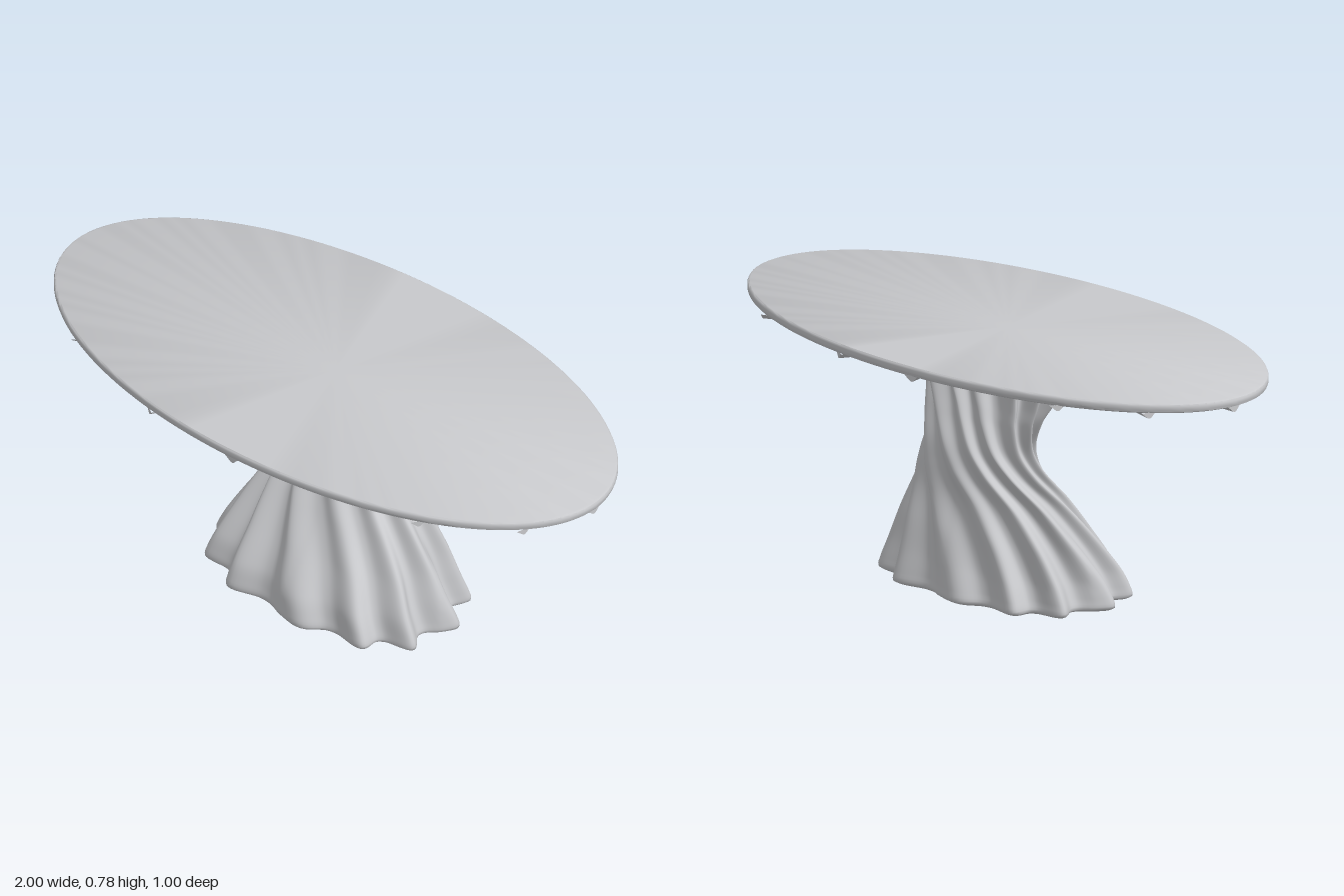
import * as THREE from 'three';
import { toCreasedNormals } from 'three/addons/utils/BufferGeometryUtils.js';

const RAD = Math.PI / 180;
// where each rib meets the rim, and where its ridge reaches the floor (degrees)
const RIBS = [0, 25, 50, 89, 109, 137, 180, 208, 230, 263, 282, 312];
const FOOT = RIBS.map((_, i) => i * 30 - 95);

// pedestal stations: y, centre z, half width x, half depth z, ridge depth, twist 0..1
const STATIONS = [
  [0.004, -0.015, 0.415, 0.25, 0.13, 0],
  [0.012, -0.015, 0.432, 0.266, 0.14, 0],
  [0.04, -0.015, 0.428, 0.264, 0.15, 0.005],
  [0.1, -0.02, 0.402, 0.247, 0.15, 0.03],
  [0.2, -0.045, 0.352, 0.204, 0.14, 0.1],
  [0.3, -0.072, 0.295, 0.16, 0.13, 0.23],
  [0.4, -0.108, 0.235, 0.128, 0.14, 0.43],
  [0.47, -0.115, 0.21, 0.12, 0.15, 0.58],
  [0.55, -0.1, 0.225, 0.118, 0.17, 0.76],
  [0.6, -0.078, 0.248, 0.13, 0.19, 0.85],
  [0.65, -0.055, 0.275, 0.147, 0.21, 0.93],
  [0.7, -0.035, 0.312, 0.168, 0.24, 0.99],
  [0.73, -0.02, 0.37, 0.2, 0.31, 1],
  [0.762, 0, 0.48, 0.27, 0.4, 1],
];

function lookup(y) {
  let k = 0;
  while (k < STATIONS.length - 2 && y > STATIONS[k + 1][0]) k++;
  const at = (i) => STATIONS[Math.min(Math.max(i, 0), STATIONS.length - 1)];
  const [p, a, b, n] = [at(k - 1), at(k), at(k + 1), at(k + 2)];
  const h = b[0] - a[0], t = (y - a[0]) / h;
  // cubic interpolation with slopes from the neighbouring stations
  return a.map((v, c) => {
    const m0 = ((b[c] - p[c]) / (b[0] - p[0])) * h;
    const m1 = ((n[c] - v) / (n[0] - a[0])) * h;
    const t2 = t * t, t3 = t2 * t;
    return (2 * t3 - 3 * t2 + 1) * v + (t3 - 2 * t2 + t) * m0 + (3 * t2 - 2 * t3) * b[c] + (t3 - t2) * m1;
  });
}

// point on the pedestal; u counts ridges (whole numbers lie on a crest)
function pedestalPoint(u, y) {
  const [, cz, rx, rz, depth, twist] = lookup(y);
  const i = Math.floor(u), f = u - i, n = RIBS.length;
  const angle = (list, k) => list[k % n] + 360 * Math.floor(k / n);
  const top = THREE.MathUtils.lerp(angle(RIBS, i), angle(RIBS, i + 1), f);
  const foot = THREE.MathUtils.lerp(angle(FOOT, i), angle(FOOT, i + 1), f);
  const a = THREE.MathUtils.lerp(foot, top, twist) * RAD;
  const power = 2 / (2 + 0.5 * Math.max(0, 1 - y / 0.4));
  const round = (v) => Math.sign(v) * Math.abs(v) ** power;
  const crest = (0.5 + 0.5 * Math.cos(f * 2 * Math.PI)) ** 1.3;
  const r = 1 - depth * (1 - crest);
  return new THREE.Vector3(rx * r * round(Math.cos(a)) - 0.005, y, cz + rz * r * round(Math.sin(a)));
}

// skin over rows of points, optionally closed around each row
function skin(rows, closed) {
  const cols = rows[0].length, index = [];
  for (let j = 0; j < rows.length - 1; j++) {
    for (let i = 0; i < (closed ? cols : cols - 1); i++) {
      const a = j * cols + i, b = j * cols + ((i + 1) % cols);
      index.push(a, a + cols, b, b, a + cols, b + cols);
    }
  }
  const g = new THREE.BufferGeometry().setFromPoints(rows.flat());
  g.setIndex(index);
  g.computeVertexNormals();
  return g;
}

// fan of triangles closing off an outline
function cap(points) {
  const g = new THREE.BufferGeometry().setFromPoints(points);
  const index = [];
  for (let i = 1; i < points.length - 1; i++) index.push(0, i, i + 1);
  g.setIndex(index);
  g.computeVertexNormals();
  return g;
}

export function createModel() {
  const group = new THREE.Group();
  group.name = 'table';
  const grey = new THREE.MeshStandardMaterial({ color: 0xc8c9cc });
  grey.name = 'paleGrey';
  const add = (name, geometry, parent = group) => {
    const mesh = new THREE.Mesh(geometry, grey);
    mesh.name = name;
    parent.add(mesh);
  };

  // oval top with a softened rim
  const profile = [[0, 0.757], [0.988, 0.757], [0.997, 0.761], [1, 0.768], [1, 0.778], [0.997, 0.784], [0.99, 0.787], [0, 0.787]];
  const top = new THREE.LatheGeometry(profile.map(([x, y]) => new THREE.Vector2(x, y)), 128);
  top.scale(1, 1, 0.5);
  add('tableTop', toCreasedNormals(top, 0.7));

  // twisted, ridged pedestal
  const perRidge = 18, rings = 90, rows = [];
  const y0 = STATIONS[0][0], y1 = STATIONS[STATIONS.length - 1][0];
  const heights = [y0, 0.007, 0.012, 0.02];
  for (let j = 1; j <= rings; j++) heights.push(0.02 + ((y1 - 0.02) * j) / rings);
  for (const y of heights) {
    const row = [];
    for (let i = 0; i < RIBS.length * perRidge; i++) row.push(pedestalPoint(i / perRidge, y));
    rows.push(row);
  }
  add('pedestal', skin(rows, true));

  // flat underside of the pedestal, a fan around its centre
  add('pedestalBase', cap([new THREE.Vector3(0, y0, -0.015), ...rows[0], rows[0][0]]));

  // ribs running from the ridges out to the rim
  const ribs = new THREE.Group();
  ribs.name = 'ribs';
  group.add(ribs);
  // distance along the rib, underside height, half width
  const stages = [[0, 0.705, 0.03], [0.06, 0.712, 0.042], [0.14, 0.724, 0.042], [0.25, 0.736, 0.038], [0.38, 0.743, 0.034], [0.7, 0.743, 0.03], [1, 0.741, 0.027]];
  const section = [[-1, 0], [-0.7, 0.15], [-0.42, 0.6], [-0.2, 0.92], [0, 1], [0.2, 0.92], [0.42, 0.6], [0.7, 0.15], [1, 0]];
  RIBS.forEach((deg, i) => {
    const start = pedestalPoint(i, 0.7).multiplyScalar(0.93);
    const end = new THREE.Vector3(0.993 * Math.cos(deg * RAD), 0, 0.4965 * Math.sin(deg * RAD));
    const dir = end.clone().sub(start).setY(0).normalize();
    const side = new THREE.Vector3(-dir.z, 0, dir.x);
    const ribRows = stages.map(([t, low, w]) => section.map(([s, drop]) =>
      start.clone().lerp(end, t).setY(0.76 - (0.76 - low) * drop).addScaledVector(side, s * w)));
    add('rib', skin(ribRows, false), ribs);
    add('ribEnd', cap([...ribRows[ribRows.length - 1]].reverse()), ribs);
  });

  return group;
}
